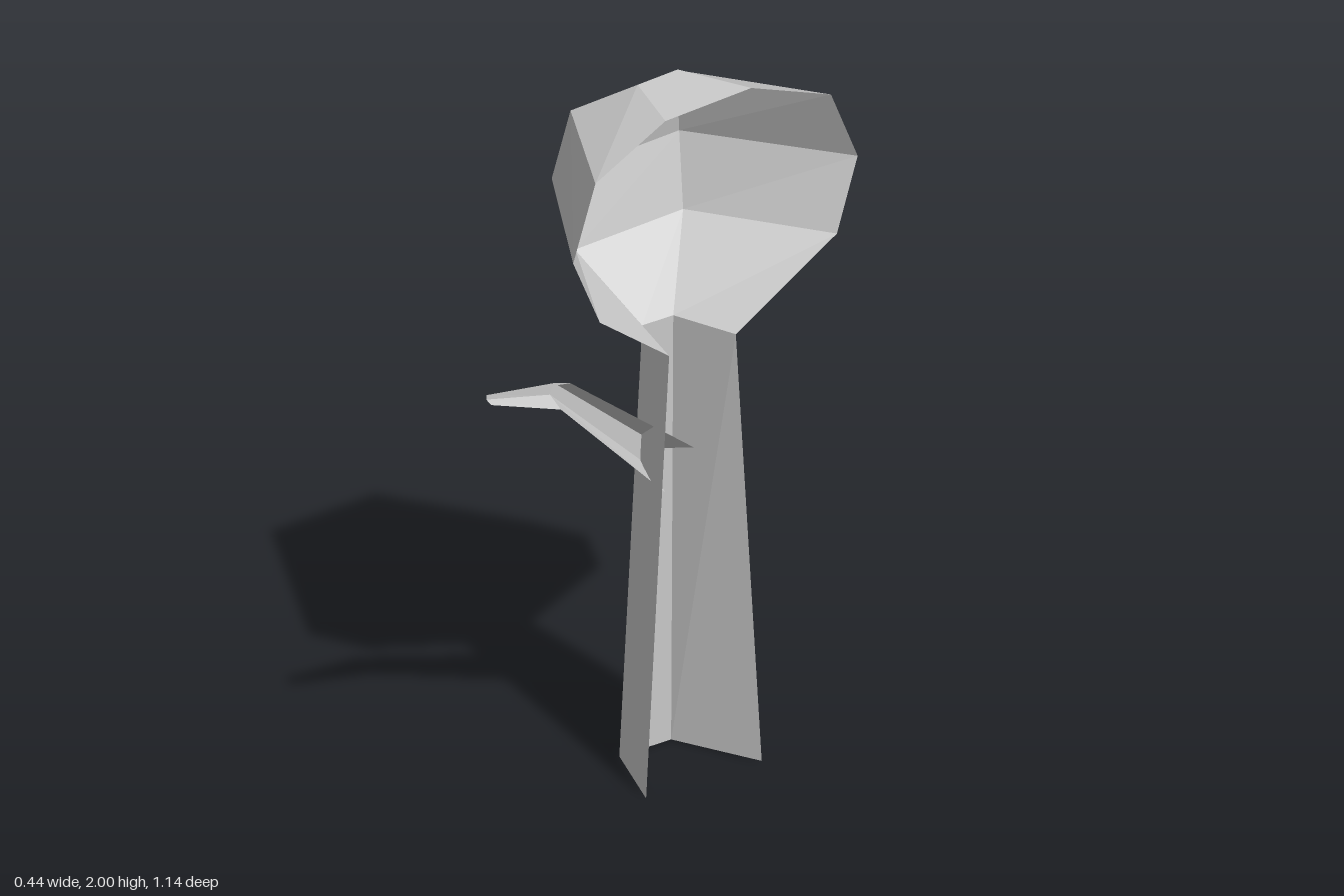
import * as THREE from 'three';

const material = new THREE.MeshStandardMaterial({
  color: 0xcccccc, flatShading: true, side: THREE.DoubleSide,
});

// Open faceted surface through a list of cross-sections of [x, y, z] points
function loft(name, rings) {
  const pos = [];
  for (let i = 0; i < rings.length - 1; i++) {
    for (let j = 0; j < rings[i].length - 1; j++) {
      const a = rings[i][j], b = rings[i][j + 1];
      const d = rings[i + 1][j], c = rings[i + 1][j + 1];
      pos.push(...a, ...d, ...c, ...a, ...c, ...b);
    }
  }
  const geo = new THREE.BufferGeometry();
  geo.setAttribute('position', new THREE.Float32BufferAttribute(pos, 3));
  geo.computeVertexNormals();
  const mesh = new THREE.Mesh(geo, material);
  mesh.name = name;
  return mesh;
}

// Half hexagon, open towards +x; y rises evenly from the front to the back edge
function halfHex(xIn, xOut, zs, yFront, yBack = yFront) {
  return zs.map((z, i) => {
    const t = (z - zs[0]) / (zs[3] - zs[0]);
    return [i === 0 || i === 3 ? xOut : xIn, yFront + (yBack - yFront) * t, z];
  });
}

// Half-hexagon channel section of the branch, between its lower and upper open edges [y, z]
function channel(xIn, xOut, low, high) {
  return [0, 0.28, 0.72, 1].map((t, i) => [
    i === 0 || i === 3 ? xOut : xIn,
    low[0] + (high[0] - low[0]) * t,
    low[1] + (high[1] - low[1]) * t,
  ]);
}

export function createModel() {
  const tree = new THREE.Group();
  tree.name = 'halfTree';

  // Tapered trunk shell
  const trunkTop = halfHex(0.015, 0.212, [0.06, 0, -0.105, -0.165], 1.285);
  tree.add(loft('trunk', [
    halfHex(-0.04, 0.215, [0.14, 0.035, -0.14, -0.25], 0),
    trunkTop,
  ]));

  // Crown shell, slightly tilted, growing out of the trunk rim
  const crownTop = halfHex(-0.005, 0.215, [0.075, 0, -0.135, -0.215], 1.985, 2);
  tree.add(loft('crown', [
    trunkTop,
    halfHex(-0.17, 0.22, [0.3, 0.085, -0.28, -0.5], 1.455, 1.49),
    halfHex(-0.22, 0.22, [0.39, 0.125, -0.305, -0.57], 1.655, 1.7),
    halfHex(-0.17, 0.22, [0.315, 0.1, -0.26, -0.48], 1.87, 1.907),
    crownTop,
  ]));
  const [p0, p1, p2, p3] = crownTop;
  tree.add(loft('crownCap', [[p0, p1], [p3, p2]]));

  // Bent branch reaching forwards
  tree.add(loft('branch', [
    channel(0.042, 0.137, [0.84, 0.015], [0.947, -0.08]),
    channel(0.063, 0.123, [1.178, 0.357], [1.247, 0.325]),
    channel(0.079, 0.1, [1.245, 0.575], [1.275, 0.575]),
  ]));

  return tree;
}
